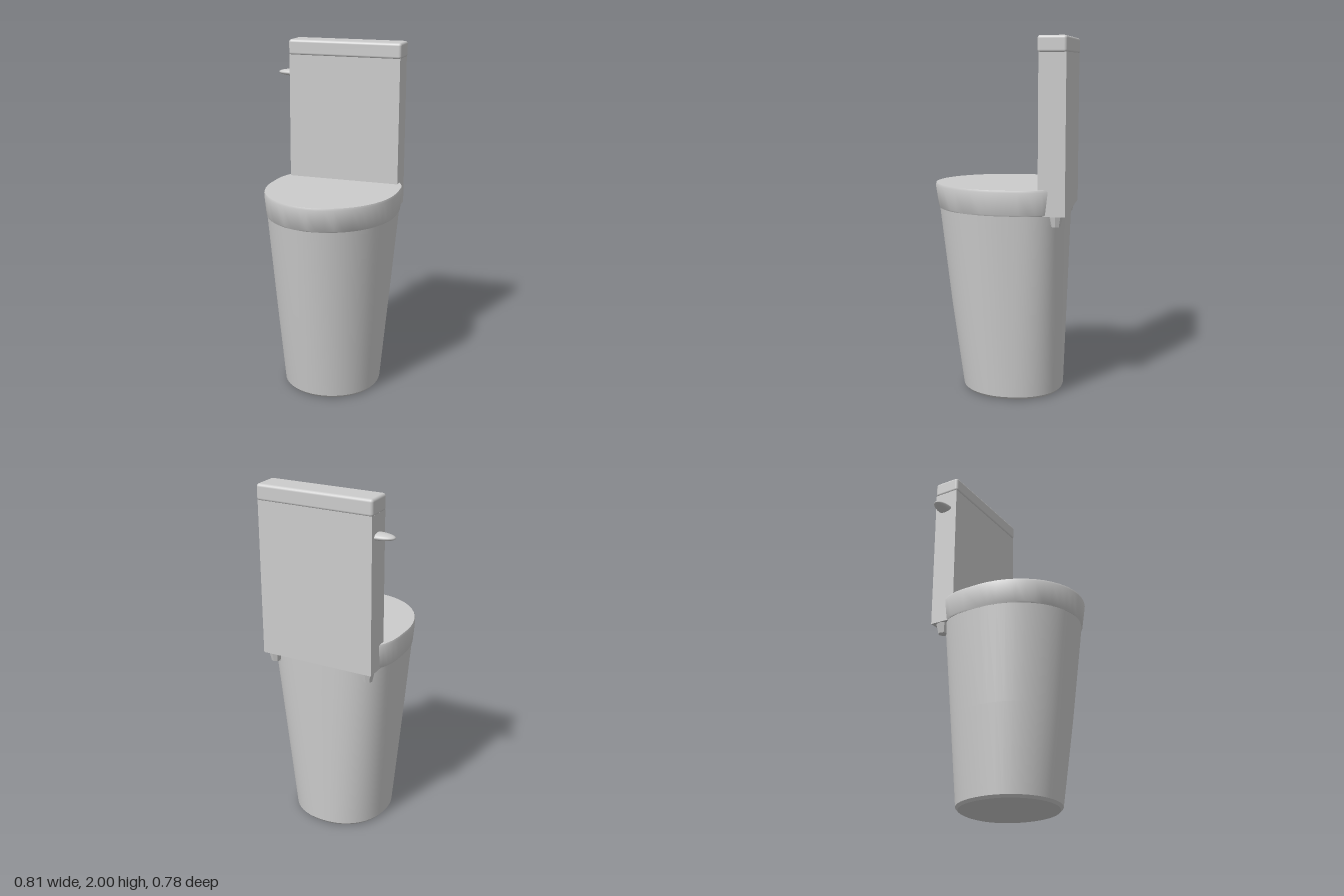
import * as THREE from 'three';
import { toCreasedNormals } from 'three/addons/utils/BufferGeometryUtils.js';
import { RoundedBoxGeometry } from 'three/addons/geometries/RoundedBoxGeometry.js';

const CX = 0.023; // shared centre line of bowl and tank
const SIDES = 48;

// Closed loft of D-shaped rings: elliptical front, squarer back.
// Each ring: [y, halfWidth, zCentre, frontDepth, backDepth, backExponent]
function loft(rings) {
  const pos = [], index = [];
  for (const [y, w, zc, front, back, n] of rings) {
    for (let i = 0; i < SIDES; i++) {
      const a = (i / SIDES) * Math.PI * 2;
      const c = Math.cos(a), s = Math.sin(a);
      const p = s >= 0 ? 1 : 2 / n;
      const x = Math.sign(c) * Math.abs(c) ** p * w;
      const z = Math.sign(s) * Math.abs(s) ** p * (s >= 0 ? front : back);
      pos.push(CX + x, y, zc + z);
    }
  }
  const last = rings.length - 1;
  const bottom = pos.length / 3, top = bottom + 1;
  pos.push(CX, rings[0][0], rings[0][2], CX, rings[last][0], rings[last][2]);
  for (let i = 0; i < SIDES; i++) {
    const j = (i + 1) % SIDES;
    for (let l = 0; l < last; l++) {
      const a = l * SIDES + i, d = l * SIDES + j;
      index.push(a, a + SIDES, d + SIDES, a, d + SIDES, d);
    }
    index.push(bottom, i, j, top, last * SIDES + j, last * SIDES + i);
  }
  const g = new THREE.BufferGeometry();
  g.setAttribute('position', new THREE.Float32BufferAttribute(pos, 3));
  g.setIndex(index);
  return toCreasedNormals(g, 0.6);
}

export function createModel() {
  const group = new THREE.Group();
  const porcelain = new THREE.MeshStandardMaterial({ color: 0xcccccc });
  porcelain.name = 'porcelain';

  const add = (name, geometry, x = 0, y = 0, z = 0) => {
    const mesh = new THREE.Mesh(geometry, porcelain);
    mesh.name = name;
    mesh.position.set(x, y, z);
    group.add(mesh);
    return mesh;
  };

  // Tapered pedestal with a softened foot
  add('pedestal', loft([
    [0, 0.268, -0.055, 0.273, 0.277, 2.2],
    [0.015, 0.281, -0.055, 0.287, 0.29, 2.2],
    [0.5, 0.322, -0.05, 0.35, 0.309, 2.6],
    [1.055, 0.367, -0.042, 0.408, 0.332, 3.2],
  ]));

  // Closed seat and cover
  add('seatCover', loft([
    [1.052, 0.367, -0.042, 0.408, 0.336, 3.3],
    [1.06, 0.371, -0.042, 0.414, 0.34, 3.3],
    [1.18, 0.38, -0.04, 0.43, 0.345, 3.3],
    [1.192, 0.376, -0.04, 0.426, 0.341, 3.3],
  ]));

  // Cistern and its rounded cover
  add('tank', new THREE.BoxGeometry(0.662, 0.865, 0.146), CX, 1.4825, -0.313);
  add('tankCover', new RoundedBoxGeometry(0.672, 0.09, 0.156, 4, 0.016), CX + 0.001, 1.955, -0.312);

  // Flattened flush lever on the right side of the tank
  const lever = add('flushLever', new THREE.SphereGeometry(1, 24, 16), -0.31, 1.8, -0.32);
  lever.scale.set(0.095, 0.02, 0.044);

  // Mounting nuts below the rear corners of the tank
  for (const side of [-1, 1]) {
    const nut = new THREE.CylinderGeometry(0.04, 0.026, 0.06, 8).toNonIndexed();
    add(side < 0 ? 'rightMountingNut' : 'leftMountingNut',
      toCreasedNormals(nut, 0.4), CX + side * 0.287, 1.022, -0.333);
  }

  return group;
}
